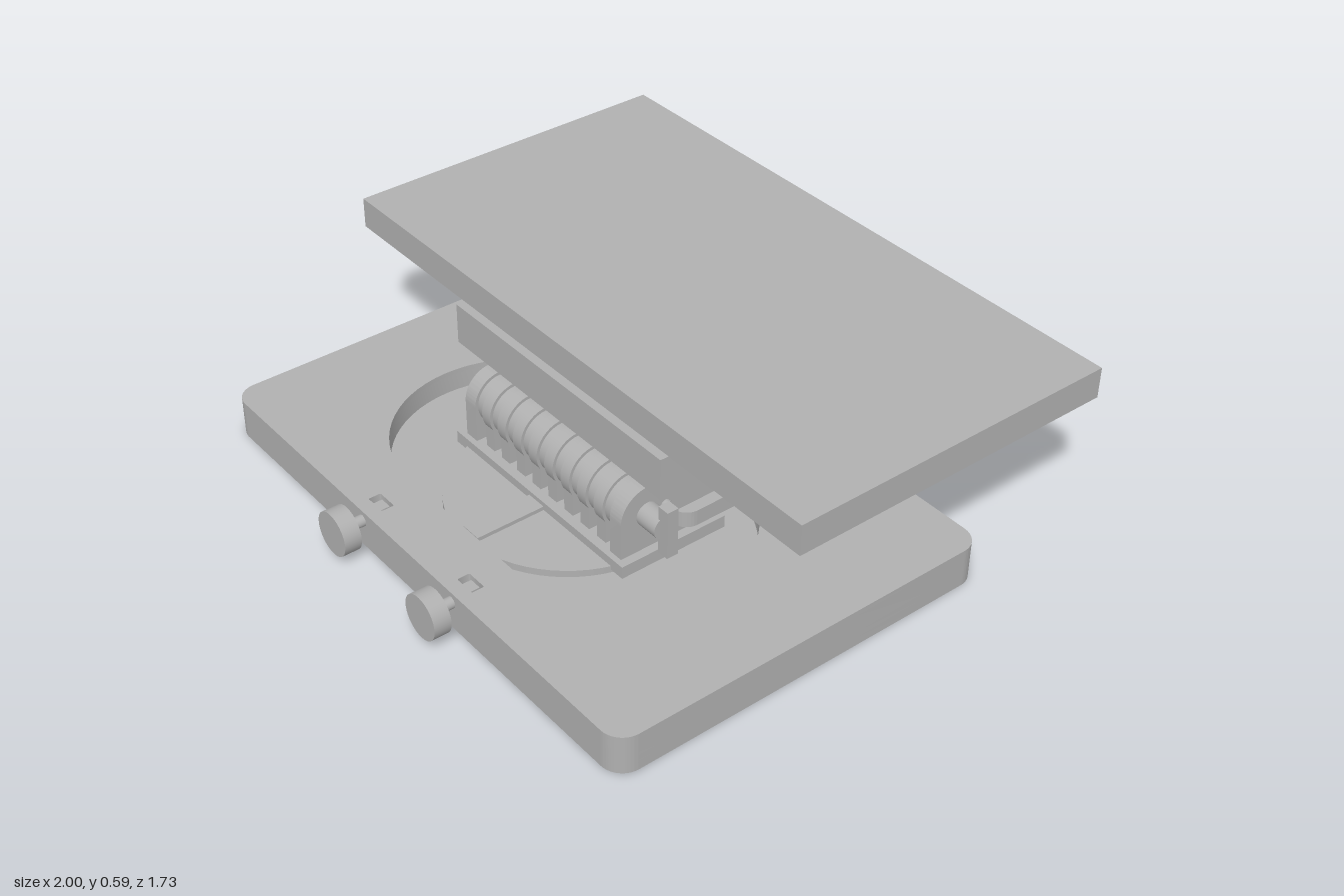
import * as THREE from 'three';
import { toCreasedNormals } from 'three/addons/utils/BufferGeometryUtils.js';

export function createModel() {
  const root = new THREE.Group();
  const grey = new THREE.MeshStandardMaterial({ color: 0xb0b0b0 });
  grey.name = 'plain grey';

  function add(name, geometry, x = 0, y = 0, z = 0, parent = root) {
    const mesh = new THREE.Mesh(geometry, grey);
    mesh.name = name;
    mesh.position.set(x, y, z);
    parent.add(mesh);
    return mesh;
  }
  // Box from its limits on each axis
  function box(name, x0, x1, y0, y1, z0, z1, parent) {
    return add(name, new THREE.BoxGeometry(x1 - x0, y1 - y0, z1 - z0),
      (x0 + x1) / 2, (y0 + y1) / 2, (z0 + z1) / 2, parent);
  }
  // Cylinder lying along x or z
  function rod(name, axis, r, from, to, a, y, parent) {
    const g = new THREE.CylinderGeometry(r, r, to - from, 40);
    const mid = (from + to) / 2;
    if (axis === 'x') return add(name, g.rotateZ(Math.PI / 2), mid, y, a, parent);
    return add(name, g.rotateX(Math.PI / 2), a, y, mid, parent);
  }
  // Rounded rectangle in plan (x, z)
  function rounded(x0, x1, z0, z1, r, Type = THREE.Shape) {
    const s = new Type();
    s.absarc(x1 - r, z0 + r, r, -Math.PI / 2, 0);
    s.absarc(x1 - r, z1 - r, r, 0, Math.PI / 2);
    s.absarc(x0 + r, z1 - r, r, Math.PI / 2, Math.PI);
    s.absarc(x0 + r, z0 + r, r, Math.PI, Math.PI * 1.5);
    s.closePath();
    return s;
  }
  // Horizontal plate cut from a plan shape
  function plate(name, shape, holes, y0, y1, parent) {
    shape.holes = holes;
    const g = new THREE.ExtrudeGeometry(shape, { depth: y1 - y0, bevelEnabled: false, curveSegments: 16 });
    return add(name, toCreasedNormals(g.rotateX(Math.PI / 2), 0.6), 0, y1, 0, parent);
  }

  // Base: waffle underside, stadium-shaped recess on top
  const base = new THREE.Group();
  base.name = 'base';
  root.add(base);
  const outline = () => rounded(-0.95, 0.95, -0.52, 0.765, 0.07);
  const deepCells = [], shallowCells = [];
  for (let i = -5; i <= 5; i++) {
    for (let j = -3; j <= 3; j++) {
      const x = i * 0.162, z = 0.12 + j * 0.165;
      if (Math.abs(i) === 5 && Math.abs(j) === 3) continue;
      if (j === 3 && Math.abs(i) < 3) continue;
      const cell = rounded(x - 0.065, x + 0.065, z - 0.065, z + 0.065, 0.015, THREE.Path);
      const d = Math.hypot(Math.max(Math.abs(x) - 0.26, 0), z - 0.2);
      (d < 0.49 ? shallowCells : deepCells).push(cell);
    }
  }
  const recess = () => {
    const p = new THREE.Path();
    p.absarc(0.26, 0.2, 0.378, -Math.PI / 2, Math.PI / 2);
    p.absarc(-0.26, 0.2, 0.378, Math.PI / 2, Math.PI * 1.5);
    p.closePath();
    return p;
  };
  const nutSlots = [-0.225, 0.22].map(x => rounded(x - 0.035, x + 0.035, 0.68, 0.72, 0.004, THREE.Path));
  plate('baseWaffle', outline(), [...deepCells, ...shallowCells], 0, 0.03, base);
  plate('baseFloor', outline(), deepCells, 0.03, 0.05, base);
  plate('baseWall', outline(), [recess(), ...nutSlots, ...deepCells], 0.05, 0.11, base);
  plate('baseTop', outline(), [recess(), ...nutSlots], 0.11, 0.125, base);
  plate('undersideRib', rounded(-0.3, 0.3, 0.255, 0.305, 0.024), [], 0.001, 0.04, base);

  // Turning disc in the recess, with its radial bar and foot
  add('turntable', new THREE.CylinderGeometry(0.37, 0.37, 0.025, 64), 0, 0.06, 0.2);
  box('radialBar', -0.035, 0.035, 0.06, 0.085, 0.2, 0.55);
  box('hingeFoot', -0.4, 0.4, 0.06, 0.1, -0.05, 0.32);

  // Clamp screws at the front edge
  for (const x of [-0.225, 0.22]) {
    const screw = new THREE.Group();
    screw.name = 'clampScrew';
    root.add(screw);
    rod('screwKnob', 'z', 0.07, 0.812, 0.867, x, 0.092, screw);
    rod('screwShaft', 'z', 0.018, 0.69, 0.82, x, 0.092, screw);
    box('nut', x - 0.02, x + 0.02, 0.06, 0.115, 0.685, 0.715, screw);
  }

  // Sliding plate reaching past the back, with two screw holes
  const screwHoles = [-0.26, 0.26].map(x => {
    const p = new THREE.Path();
    p.absarc(x, -0.64, 0.02, 0, Math.PI * 2);
    return p;
  });
  plate('slidePlate', rounded(-0.41, 0.41, -0.735, 0.11, 0.05), screwHoles, 0.128, 0.18);

  // Hinge cheeks and rear posts, mirrored
  for (const s of [-1, 1]) {
    const cheek = new THREE.Shape();
    cheek.moveTo(-0.155, 0.1);
    cheek.lineTo(0.302, 0.1);
    cheek.lineTo(0.302, 0.22);
    cheek.absarc(0.21, 0.22, 0.092, 0, Math.PI / 2 - 0.11);
    cheek.lineTo(-0.08, 0.345);
    cheek.lineTo(-0.155, 0.345);
    cheek.closePath();
    // Profile (z, y) turned to stand across x
    const g = new THREE.ExtrudeGeometry(cheek, { depth: 0.05, bevelEnabled: false, curveSegments: 20 });
    g.rotateY(-Math.PI / 2);
    add('hingeCheek', toCreasedNormals(g, 0.5), s > 0 ? 0.372 : -0.322);
    box('rearPost', Math.min(s * 0.21, s * 0.372), Math.max(s * 0.21, s * 0.372), 0.17, 0.351, -0.705, -0.155);
    rod('cheekPin', 'x', 0.017, s > 0 ? 0.36 : -0.385, s > 0 ? 0.385 : -0.36, 0.145, 0.22);
  }

  // Hinge barrel with eight knuckles standing on stems
  rod('hingeBarrel', 'x', 0.082, -0.33, 0.33, 0.21, 0.22);
  for (let i = 0; i < 8; i++) {
    const x = (i - 3.5) * 0.0765;
    rod('knuckle', 'x', 0.092, x - 0.02, x + 0.02, 0.21, 0.22);
    box('knuckleStem', x - 0.02, x + 0.02, 0.08, 0.22, 0.15, 0.29);
  }

  // Locking shaft with its handle
  rod('lockShaft', 'x', 0.038, 0.36, 0.45, 0.21, 0.22);
  rod('shaftEnd', 'x', 0.02, -0.388, -0.36, 0.21, 0.22);
  box('lockHandle', 0.442, 0.482, 0.138, 0.297, 0.19, 0.228);

  // Head blocks and top board
  box('frontBlock', -0.475, 0.475, 0.353, 0.485, -0.145, 0.25);
  box('rearBlock', -0.52, 0.52, 0.35, 0.492, -0.755, -0.145);
  box('topBoard', -1, 1, 0.492, 0.59, -0.865, 0.228);
  return root;
}
